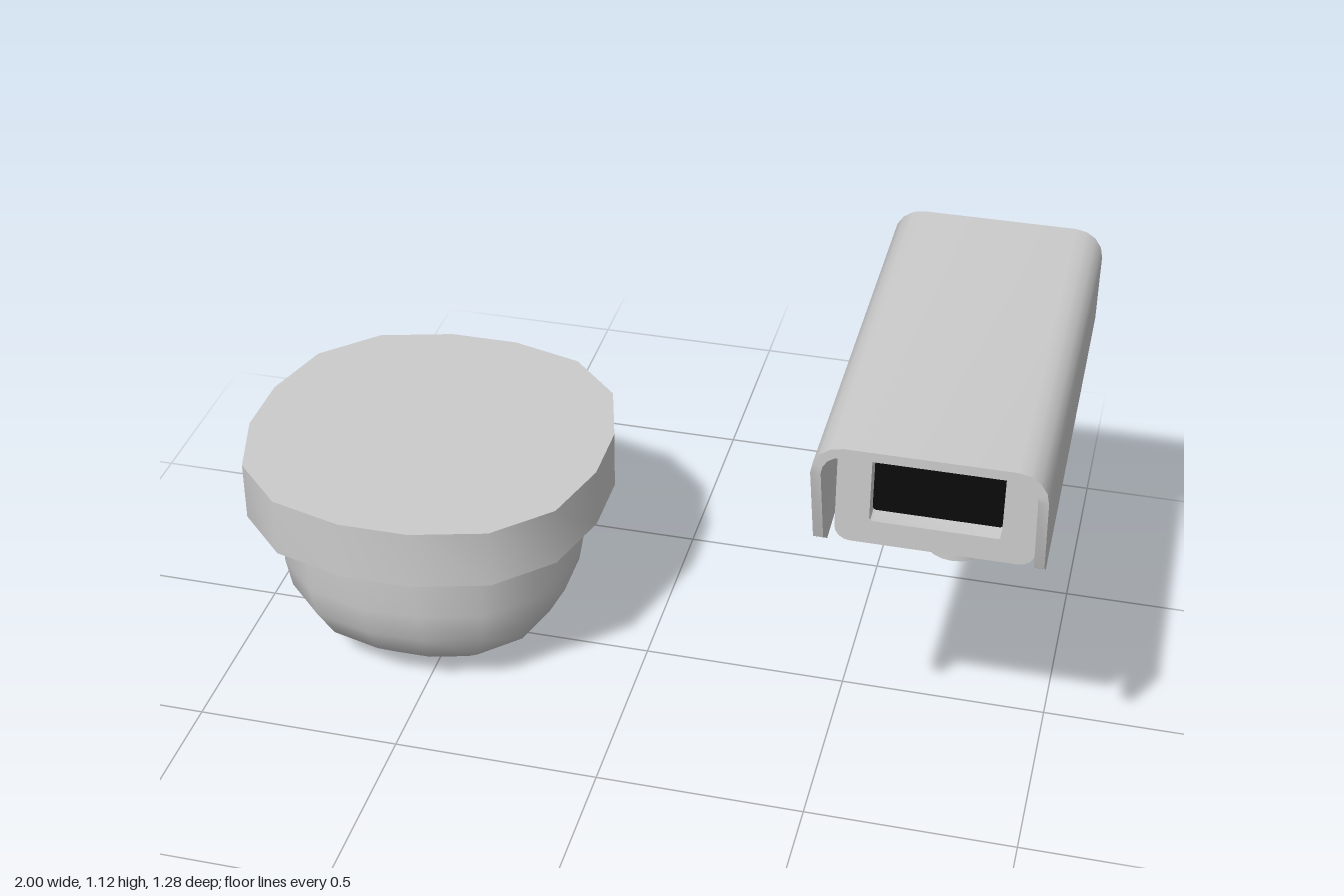
import * as THREE from 'three';
import { toCreasedNormals } from 'three/addons/utils/BufferGeometryUtils.js';

const grey = new THREE.MeshStandardMaterial({ color: 0xcccccc });
const black = new THREE.MeshStandardMaterial({ color: 0x0a0a0a });

function part(name, geometry, x = 0, y = 0, z = 0, material = grey) {
  const mesh = new THREE.Mesh(geometry, material);
  mesh.name = name;
  mesh.position.set(x, y, z);
  return mesh;
}

// Closed solid through equal-length rings of [x, y, z], capped at both ends
function loft(rings, crease = 0.6) {
  const n = rings[0].length, index = [], pts = rings.flat();
  for (let r = 0; r < rings.length - 1; r++) {
    for (let i = 0; i < n; i++) {
      const a = r * n + i, b = r * n + (i + 1) % n;
      index.push(a, b, b + n, a, b + n, a + n);
    }
  }
  const last = (rings.length - 1) * n;
  for (let i = 1; i < n - 1; i++) {
    index.push(0, i + 1, i, last, last + i, last + i + 1);
  }
  // A negative volume means the rings ran the other way round
  let volume = 0;
  const v = index.map((i) => new THREE.Vector3(...pts[i]));
  for (let i = 0; i < v.length; i += 3) volume += v[i].dot(v[i + 1].clone().cross(v[i + 2]));
  if (volume < 0) index.reverse();
  const g = new THREE.BufferGeometry();
  g.setAttribute('position', new THREE.Float32BufferAttribute(pts.flat(), 3));
  g.setIndex(index);
  return toCreasedNormals(g, crease);
}

// Thick folded sheet: outer and inner 2D paths, placed at a front and a back edge
function foldedSheet(outer, inner, front, back) {
  return loft(outer.map((o, i) => [front(...o), front(...inner[i]), back(...inner[i]), back(...o)]));
}

// Rounded rectangle outline, counter-clockwise
function roundedRect(half, bottom, top, rBottom, rTop, steps = 4) {
  const pts = [];
  const corners = [[1, top, rTop], [-1, top, rTop], [-1, bottom, rBottom], [1, bottom, rBottom]];
  corners.forEach(([s, y, r], c) => {
    for (let i = 0; i <= steps; i++) {
      const a = (c + i / steps) * Math.PI / 2;
      pts.push([s * (half - r) + r * Math.cos(a), y + (c < 2 ? -r : r) + r * Math.sin(a)]);
    }
  });
  return pts;
}

// Sixteen-sided, slightly squared circle
function squircle(half, y) {
  const quarter = [[1, 0.194], [0.885, 0.6], [0.6, 0.885], [0.194, 1]];
  const ring = [];
  for (let q = 0; q < 4; q++) {
    const c = [1, 0, -1, 0][q], s = [0, 1, 0, -1][q];
    quarter.forEach(([x, z]) => ring.push([half * (x * c - z * s), y, half * (x * s + z * c)]));
  }
  return ring;
}

function createDomeCamera() {
  const g = new THREE.Group();
  g.name = 'domeCamera';
  g.position.set(-0.557, 0, -0.035);
  g.add(part('ceilingRim', loft([squircle(0.443, 0.41), squircle(0.443, 0.56)])));
  const profile = [[0.115, 0], [0.23, 0.032], [0.31, 0.1], [0.353, 0.18], [0.366, 0.26], [0.366, 0.42]];
  g.add(part('dome', loft(profile.map(([r, y]) => squircle(r, y)), 0.8)));
  return g;
}

// Arched path over the housing, from one lower edge to the other
function coverPath(half, top, r) {
  const side = [[half, 0.8], [half, 0.84]];
  for (let i = 0; i <= 4; i++) {
    const a = i * Math.PI / 8;
    side.push([half - r + r * Math.cos(a), top - r + r * Math.sin(a)]);
  }
  return [...side, ...side.map(([x, y]) => [-x, y]).reverse()];
}

function createHousing() {
  const g = new THREE.Group();
  g.name = 'housing';

  // Sun cover with a raked front edge and a rising lower edge
  const frontZ = (y) => y < 0.84 ? 0.515 + (y - 0.8) / 0.04 * 0.055
    : Math.min(0.64, 0.57 + (y - 0.84) / 0.21 * 0.07);
  const backY = (y) => y > 1.05 ? y : 1.05 - (1.05 - y) * 0.66;
  g.add(part('sunCover', foldedSheet(
    coverPath(0.246, 1.117, 0.067), coverPath(0.224, 1.095, 0.045),
    (x, y) => [x, y, frontZ(y)], (x, y) => [x, backY(y), -0.41])));

  // Body whose underside steps down over the mount
  const bottoms = [[0.415, 0.77], [0.235, 0.79], [0.15, 0.735], [-0.2, 0.768], [-0.27, 0.835], [-0.375, 0.85]];
  g.add(part('body', loft(bottoms.map(([z, y]) =>
    roundedRect(0.216, y, 1.09, 0.035, 0.04).map(([px, py]) => [px, py, z])))));

  // Front frame around the recessed window
  const toV = ([x, y]) => new THREE.Vector2(x, y);
  const shape = new THREE.Shape(roundedRect(0.218, 0.766, 1.092, 0.035, 0.04).map(toV));
  shape.holes.push(new THREE.Path(roundedRect(0.143, 0.825, 1.028, 0.008, 0.008, 2).reverse().map(toV)));
  const frame = new THREE.ExtrudeGeometry(shape, { depth: 0.05, bevelEnabled: false });
  g.add(part('frontFrame', toCreasedNormals(frame, 0.6), 0, 0, 0.415));
  g.add(part('window', new THREE.BoxGeometry(0.3, 0.22, 0.01), 0, 0.927, 0.416, black));
  return g;
}

function createMount() {
  const g = new THREE.Group();
  g.name = 'mount';

  // Tapered U-shaped cradle, open front to back
  const cradleEdge = (top, bottom) => (x, y) => [x, y, bottom + (top - bottom) * (y - 0.63) / 0.14];
  g.add(part('cradle', foldedSheet(
    [[0.108, 0.77], [0.094, 0.63], [-0.094, 0.63], [-0.108, 0.77]],
    [[0.086, 0.77], [0.074, 0.652], [-0.074, 0.652], [-0.086, 0.77]],
    cradleEdge(0.09, 0.03), cradleEdge(-0.13, -0.08))));
  g.add(part('swivelPin', new THREE.CylinderGeometry(0.038, 0.038, 0.06, 16), 0, 0.61, -0.023));
  g.add(part('neck', new THREE.CylinderGeometry(0.075, 0.075, 0.15, 20), 0, 0.525, -0.025));

  // Arm widening toward the wall: z, bottom, top, lower half width, upper half width
  const sections = [
    [-0.025, 0.45, 0.6, 0.075, 0.074], [-0.1, 0.449, 0.6, 0.07, 0.06],
    [-0.16, 0.444, 0.525, 0.077, 0.072], [-0.575, 0.402, 0.475, 0.119, 0.11],
    [-0.63, 0.33, 0.47, 0.125, 0.115],
  ];
  g.add(part('arm', loft(sections.map(([z, b, t, wb, wt]) =>
    [[-wb, b, z], [wb, b, z], [wt, t, z], [-wt, t, z]]), 0.4)));
  g.add(part('wallPlate', new THREE.BoxGeometry(0.33, 0.312, 0.011), 0, 0.382, -0.634));
  return g;
}

export function createModel() {
  const model = new THREE.Group();
  model.name = 'securityCameras';
  const wallCamera = new THREE.Group();
  wallCamera.name = 'wallCamera';
  wallCamera.position.x = 0.752;
  wallCamera.add(createHousing(), createMount());
  model.add(createDomeCamera(), wallCamera);
  return model;
}
